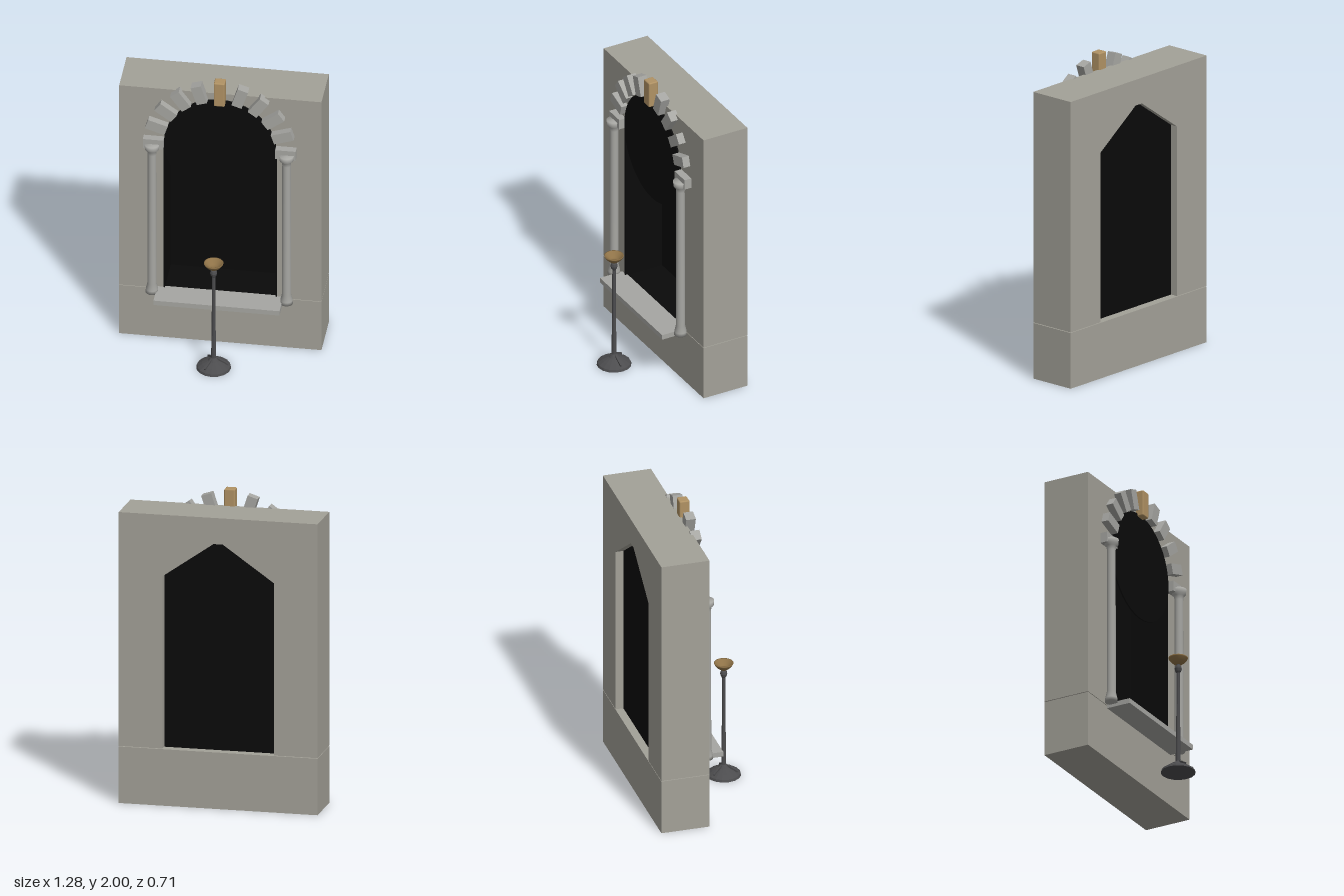
import * as THREE from 'three';
import { RoundedBoxGeometry } from 'three/addons/geometries/RoundedBoxGeometry.js';

export function createModel() {
  const root = new THREE.Group();
  root.name = 'archedNiche';

  const mat = (name, color, extra = {}) => {
    const m = new THREE.MeshStandardMaterial({ color, ...extra });
    m.name = name;
    return m;
  };
  const wallStone = mat('wallStone', 0xa3a198);
  const trimStone = mat('trimStone', 0xa6a6a2);
  const black = mat('nicheBlack', 0x0a0a0a);
  const bronze = mat('keystoneBronze', 0xb09264);
  const bowlBronze = mat('bowlBronze', 0x8f7348, { side: THREE.DoubleSide });
  const iron = mat('iron', 0x4c4c4e, { flatShading: true });

  const add = (name, geo, material, x = 0, y = 0, z = 0, parent = root) => {
    const m = new THREE.Mesh(geo, material);
    m.name = name;
    m.position.set(x, y, z);
    parent.add(m);
    return m;
  };
  // Box given by its lower and upper limits on each axis
  const box = (name, material, x0, x1, y0, y1, z0, z1) =>
    add(name, new THREE.BoxGeometry(x1 - x0, y1 - y0, z1 - z0), material,
      (x0 + x1) / 2, (y0 + y1) / 2, (z0 + z1) / 2);
  const lathe = (pts, sides) =>
    new THREE.LatheGeometry(pts.map(([r, y]) => new THREE.Vector2(r, y)), sides);

  const BACK = -0.355, FRONT = -0.04, HALF = 0.36, SPRING = 1.49, LINTEL = 1.72, TOP = 1.89;

  // Wall: plinth, lintel and sill
  box('plinth', wallStone, -0.642, 0.642, 0, 0.367, BACK, FRONT);
  box('lintel', wallStone, -HALF, HALF, LINTEL, TOP, BACK, FRONT);
  box('sill', trimStone, -0.4, 0.4, 0.35, 0.383, FRONT - 0.01, 0.123);

  // Dark recess, open to the front, and the round arch panel
  box('recessBack', black, -HALF, HALF, 0.37, LINTEL, -0.304, -0.298);
  box('recessFloor', black, -HALF, HALF, 0.369, 0.377, -0.3, FRONT);
  const disc = new THREE.CylinderGeometry(0.357, 0.357, 0.01, 40).rotateX(Math.PI / 2);
  add('archPanel', disc, black, 0, SPRING, -0.034);

  // Mirrored wall parts and columns
  const columnProfile = [[0, 0.37], [0.04, 0.37], [0.039, 0.395], [0.029, 0.44], [0.028, 0.9],
    [0.027, 1.42], [0.032, 1.45], [0.045, 1.46], [0.047, 1.495], [0, 1.495]];
  for (const s of [1, -1]) {
    const a = s * HALF, b = s * 0.642;
    box('jamb', wallStone, Math.min(a, b), Math.max(a, b), 0.371, TOP, BACK, FRONT);
    const c = s * 0.352;
    box('recessSide', black, Math.min(a, c), Math.max(a, c), 0.377, SPRING, -0.3, -0.033);
    // Sloping filler beneath the lintel
    const tri = new THREE.Shape([[HALF, SPRING], [HALF, LINTEL], [0.03, LINTEL]]
      .map(([x, y]) => new THREE.Vector2(s * x, y)));
    add('spandrel', new THREE.ExtrudeGeometry(tri, { depth: FRONT - BACK, bevelEnabled: false }),
      wallStone, 0, 0, BACK);
    add('column', lathe(columnProfile, 20), trimStone, s * 0.427, 0, 0.006);
  }

  // Arch stones every 18 degrees, with a taller keystone
  const stone = new THREE.BoxGeometry(0.068, 0.13, 0.063);
  for (let i = -5; i <= 5; i++) {
    if (i === 0) continue;
    const t = i * Math.PI / 10;
    add('archStone', stone, trimStone, 0.42 * Math.sin(t), SPRING + 0.005 + 0.42 * Math.cos(t), -0.023)
      .rotation.z = -t;
  }
  add('keystone', new RoundedBoxGeometry(0.07, 0.175, 0.066, 2, 0.008), bronze, 0, 1.9125, -0.021);

  // Standing brazier
  const brazier = new THREE.Group();
  brazier.name = 'brazier';
  brazier.position.z = 0.245;
  root.add(brazier);
  add('brazierFoot', lathe([[0, 0], [0.11, 0], [0.105, 0.015], [0.075, 0.035], [0.035, 0.055],
    [0.018, 0.075], [0, 0.08]], 16), iron, 0, 0, 0, brazier);
  add('brazierPole', lathe([[0.016, 0.07], [0.012, 0.4], [0.011, 0.69], [0.018, 0.7], [0.023, 0.718],
    [0.019, 0.735], [0.012, 0.742], [0.012, 0.752], [0, 0.752]], 12), iron, 0, 0, 0, brazier);
  for (let i = 0; i < 3; i++) {
    const arm = new THREE.Group();
    arm.name = 'footRib';
    arm.rotation.y = i * Math.PI * 2 / 3;
    brazier.add(arm);
    add('rib', new THREE.BoxGeometry(0.08, 0.012, 0.01), iron, 0.055, 0.05, 0, arm).rotation.z = -0.5;
  }
  add('brazierBowl', lathe([[0, 0.748], [0.022, 0.748], [0.043, 0.765], [0.06, 0.787], [0.062, 0.795],
    [0.055, 0.795], [0.025, 0.765], [0, 0.765]], 20), bowlBronze, 0, 0, 0, brazier);

  return root;
}
